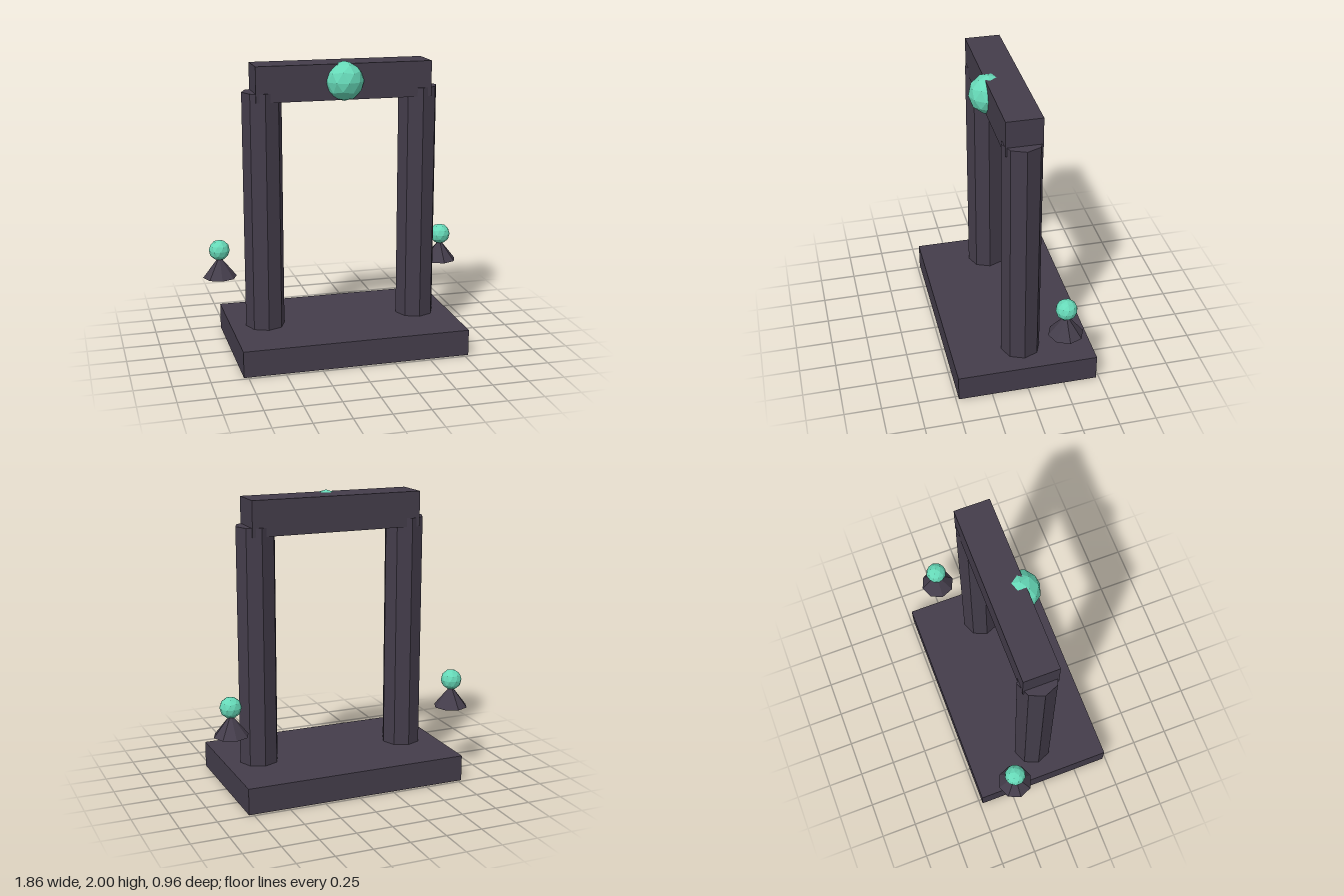
import * as THREE from 'three';

export function createModel() {
  const model = new THREE.Group();
  const stone = new THREE.MeshStandardMaterial({ color: 0x443d4b, flatShading: true });
  stone.name = 'dark stone';
  const glow = new THREE.MeshStandardMaterial({ color: 0x66d9b8, flatShading: true });
  glow.name = 'teal crystal';

  const add = (name, geometry, material, x, y, z) => {
    const mesh = new THREE.Mesh(geometry, material);
    mesh.name = name;
    mesh.position.set(x, y, z);
    model.add(mesh);
  };

  // Faceted ball turned so that a five-sided corner points straight up
  const orb = (r) => {
    const tilt = Math.atan(2 / (1 + Math.sqrt(5)));
    return new THREE.IcosahedronGeometry(r, 1).rotateZ(-tilt);
  };

  // Base slab and lintel
  add('base', new THREE.BoxGeometry(1.56, 0.18, 0.96), stone, 0, 0.09, 0);
  add('lintel', new THREE.BoxGeometry(1.2, 0.24, 0.24), stone, 0, 1.865, 0);

  // Large orb set into the front of the lintel
  add('keystoneOrb', orb(0.133), glow, 0, 1.867, 0.092);

  for (const [side, s] of [['left', 1], ['right', -1]]) {
    // Octagonal pillar
    add(side + 'Pillar', new THREE.CylinderGeometry(0.135, 0.135, 1.625, 8), stone, s * 0.54, 0.9925, 0);
    // Floating cone with a small orb on its tip
    add(side + 'Cone', new THREE.ConeGeometry(0.119, 0.15, 8), stone, s * 0.812, 0.545, -0.24);
    add(side + 'Orb', orb(0.073), glow, s * 0.812, 0.664, -0.24);
  }
  return model;
}
